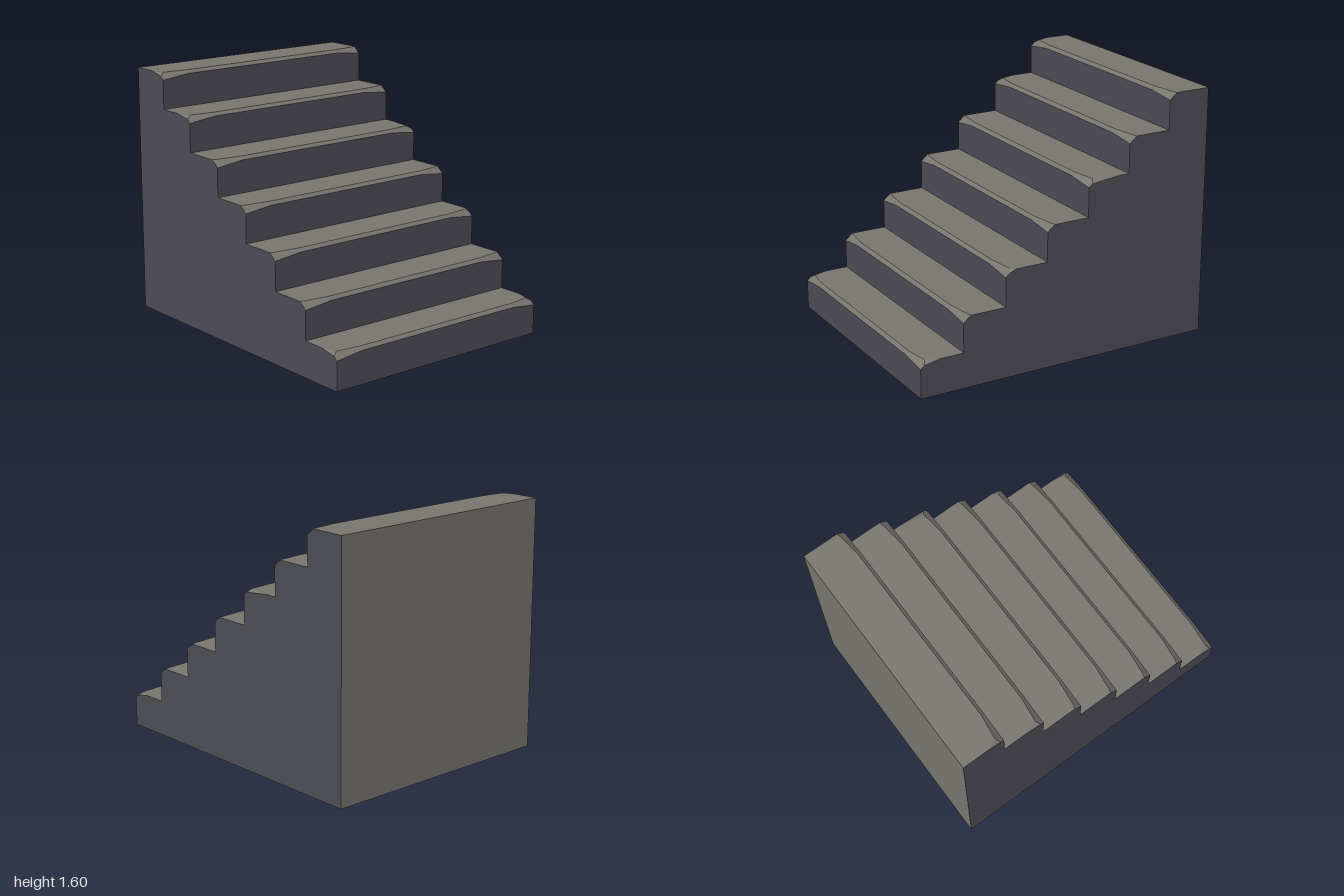
import * as THREE from 'three';

const STEPS = 7, HALF = 0.8, DEPTH = 2 / STEPS, RISE = 1.6 / STEPS;
const MID = 0.61, TIP = 0.77; // where the worn edge starts to slope, and its chipped tip
// How far back each step's chipped corner reaches, on the -x and +x sides
const CHIPS = [[0.13, 0.13], [0.05, 0.05], [0.05, 0.07], [0.05, 0.05], [0.05, 0.21], [0.14, 0.05], [0.12, 0.05]];

// Flat-shaded faces, each a convex loop of points, counter-clockwise from outside
function facesGeometry(loops) {
  const pos = [];
  for (const loop of loops) {
    for (let i = 1; i < loop.length - 1; i++) pos.push(...loop[0], ...loop[i], ...loop[i + 1]);
  }
  const geo = new THREE.BufferGeometry();
  geo.setAttribute('position', new THREE.Float32BufferAttribute(pos, 3));
  geo.computeVertexNormals();
  return geo;
}

export function createModel() {
  const group = new THREE.Group();
  const stone = new THREE.MeshStandardMaterial({ color: 0x78756f, side: THREE.DoubleSide, flatShading: true });
  stone.name = 'warm grey stone';
  const slate = new THREE.MeshStandardMaterial({ color: 0x4d4c55, side: THREE.DoubleSide, flatShading: true });
  slate.name = 'slate';

  const add = (name, geo, material) => {
    const mesh = new THREE.Mesh(geo, material);
    mesh.name = name;
    group.add(mesh);
  };

  CHIPS.forEach((chip, i) => {
    const z = 1 - i * DEPTH, back = z - DEPTH, y0 = i * RISE, top = y0 + RISE;
    // Key points of the worn edge on side s
    const edge = (s) => ({
      lowMid: [s * MID, top - 0.02, z],
      lowEnd: [s * HALF, top - 0.042, z],
      upMid: [s * MID, top, z - 0.022],
      upTip: [s * TIP, top, z - 0.042],
      sideMid: [s * HALF, top - 0.02, z - 0.024],
      sideBack: [s * HALF, top, z - chip[s < 0 ? 0 : 1]],
    });
    const L = edge(-1), R = edge(1);

    // Upright front of the step
    add('riser', facesGeometry([
      [[-HALF, y0, z], [HALF, y0, z], R.lowEnd, R.lowMid, L.lowMid, L.lowEnd],
    ]), slate);

    // Walking surface
    add('tread', facesGeometry([
      [[-HALF, top, back], L.sideBack, L.upTip, L.upMid, R.upMid, R.upTip, R.sideBack, [HALF, top, back]],
    ]), stone);

    // Bevelled edge with chipped corners
    add('wornEdge', facesGeometry([
      [L.lowMid, R.lowMid, R.upMid, L.upMid],
      [R.lowMid, R.lowEnd, R.sideMid, R.upTip, R.upMid],
      [L.lowMid, L.upMid, L.upTip, L.sideMid, L.lowEnd],
      [R.upTip, R.sideMid, R.sideBack],
      [L.upTip, L.sideBack, L.sideMid],
    ]), stone);
  });

  // Stepped side walls, following the chipped corners
  for (const s of [-1, 1]) {
    const pts = [[-1, 0], [1, 0]];
    CHIPS.forEach((chip, i) => {
      const z = 1 - i * DEPTH, top = (i + 1) * RISE;
      pts.push([z, top - 0.042], [z - 0.024, top - 0.02], [z - chip[s < 0 ? 0 : 1], top], [z - DEPTH, top]);
    });
    const shape = new THREE.Shape(pts.map(([z, y]) => new THREE.Vector2(-s * z, y)));
    const geo = new THREE.ShapeGeometry(shape);
    geo.rotateY(s * Math.PI / 2).translate(s * HALF, 0, 0);
    add(s > 0 ? 'leftWall' : 'rightWall', geo, slate);
  }

  // Back wall; the underside stays open
  add('backWall', facesGeometry([
    [[HALF, 0, -1], [-HALF, 0, -1], [-HALF, 1.6, -1], [HALF, 1.6, -1]],
  ]), stone);

  return group;
}
